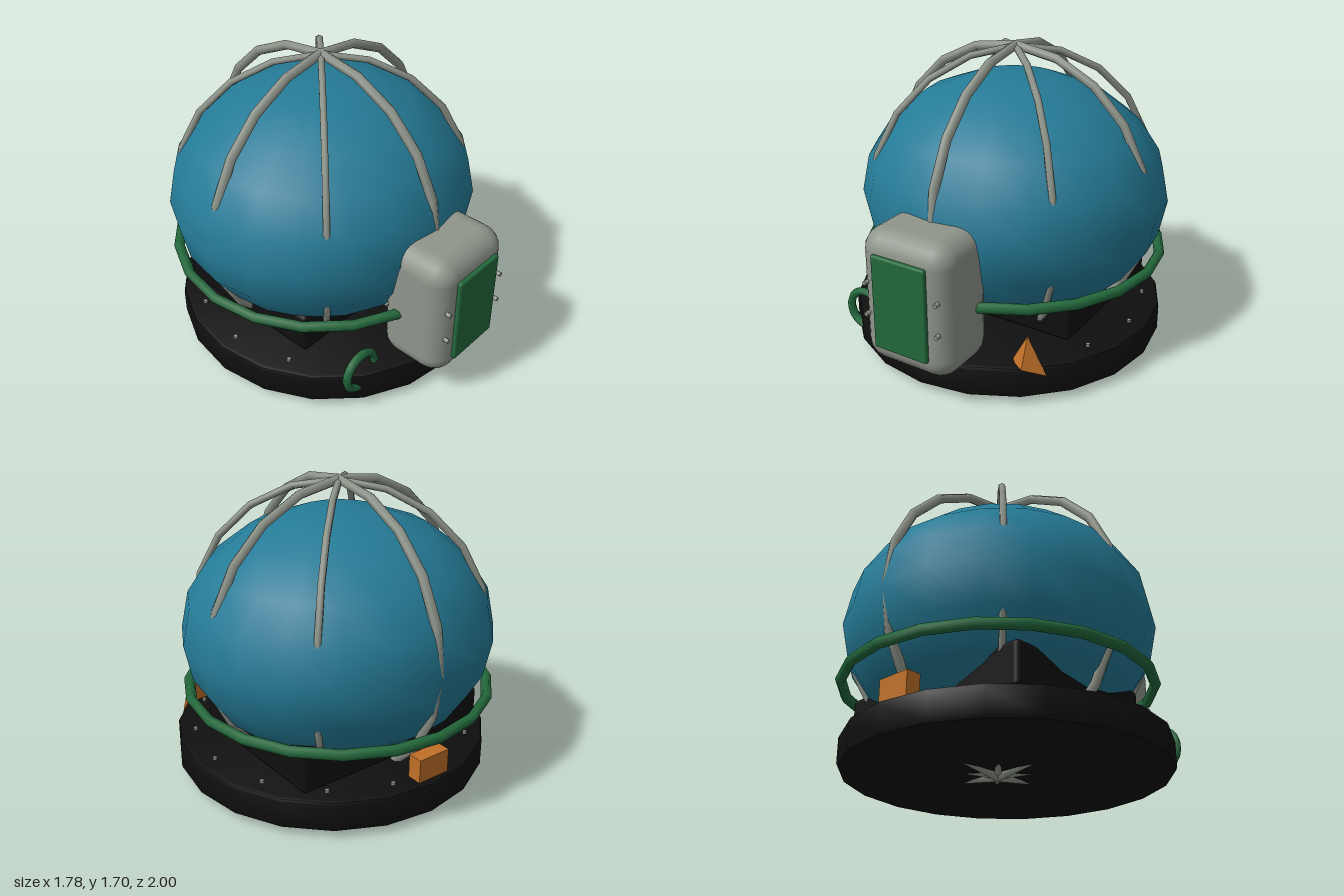
import * as THREE from 'three';
import { toCreasedNormals } from 'three/addons/utils/BufferGeometryUtils.js';
import { RoundedBoxGeometry } from 'three/addons/geometries/RoundedBoxGeometry.js';
import { ConvexGeometry } from 'three/addons/geometries/ConvexGeometry.js';

const material = (name, color) => {
  const m = new THREE.MeshStandardMaterial({ color });
  m.name = name;
  return m;
};

export function createModel() {
  const model = new THREE.Group();
  model.name = 'cagedDome';
  const teal = material('teal', 0x257b97);
  const grey = material('grey', 0x8f958b);
  const green = material('green', 0x23693c);
  const orange = material('orange', 0xc07028);
  const black = material('black', 0x0f0f0f);

  const add = (name, geometry, mat, x = 0, y = 0, z = 0, parent = model) => {
    const mesh = new THREE.Mesh(geometry, mat);
    mesh.name = name;
    mesh.position.set(x, y, z);
    parent.add(mesh);
    return mesh;
  };
  const group = (name) => {
    const g = new THREE.Group();
    g.name = name;
    model.add(g);
    return g;
  };

  const domeZ = -0.12, baseZ = -0.05;

  // Flattened dome
  add('dome', new THREE.SphereGeometry(1, 20, 10).scale(0.88, 0.677, 0.85), teal, 0, 0.84, domeZ);

  // Round base with softened rims
  const profile = [[0, 0.04], [0.87, 0.04], [0.885, 0.046], [0.892, 0.06], [0.892, 0.2],
    [0.885, 0.214], [0.87, 0.22], [0, 0.22]].map(([r, y]) => new THREE.Vector2(r, y));
  add('base', toCreasedNormals(new THREE.LatheGeometry(profile, 20), 0.6), black, 0, 0, baseZ);

  // Cradle block under the dome; only its corners stick out
  add('cradle', new RoundedBoxGeometry(1.22, 0.25, 0.95, 2, 0.03), black, 0, 0.345, -0.155);

  // Cage: four full hoops through the poles, the diagonal ones slimmer
  const cage = group('cage');
  for (let i = 0; i < 4; i++) {
    const diagonal = i % 2 === 1;
    const hoop = new THREE.TorusGeometry(diagonal ? 0.818 : 0.823, diagonal ? 0.02 : 0.027, 6, 20);
    add(diagonal ? 'diagonalHoop' : 'mainHoop', hoop, grey, 0, 0.85, domeZ, cage).rotation.y = i * Math.PI / 4;
  }

  // Level guard rail
  add('guardRail', new THREE.TorusGeometry(0.848, 0.03, 6, 20).rotateX(Math.PI / 2), green, 0, 0.51, domeZ);

  // Front cabinet with door and bolts
  const cabinet = group('frontCabinet');
  add('cabinetBody', new RoundedBoxGeometry(0.55, 0.76, 0.42, 3, 0.12), grey, 0, 0.56, 0.763, cabinet);
  add('cabinetDoor', new RoundedBoxGeometry(0.33, 0.53, 0.03, 2, 0.012), green, 0, 0.565, 0.982, cabinet);
  for (const x of [-0.22, 0.22]) {
    for (const y of [0.47, 0.65]) {
      const bolt = new THREE.CylinderGeometry(0.012, 0.012, 0.03, 8).rotateX(Math.PI / 2);
      add('cabinetBolt', bolt, grey, x, y, 0.972, cabinet);
    }
  }

  // Bolts around the base rim
  const baseBolts = group('baseBolts');
  for (let i = 0; i < 14; i++) {
    const a = i / 14 * Math.PI * 2;
    add('baseBolt', new THREE.CylinderGeometry(0.012, 0.012, 0.02, 8), grey,
      0.79 * Math.cos(a), 0.225, baseZ + 0.79 * Math.sin(a), baseBolts);
  }

  // Curled hose at the front
  const hose = group('hose');
  const arc = 4.55, hoseR = 0.11;
  add('hoseCurl', new THREE.TorusGeometry(hoseR, 0.024, 6, 14, arc), green, -0.515, 0.24, 0.64, hose);
  for (const a of [0, arc]) {
    add('hoseEnd', new THREE.SphereGeometry(0.024, 6, 4), green,
      -0.515 + hoseR * Math.cos(a), 0.24 + hoseR * Math.sin(a), 0.64, hose);
  }

  // Pointed marker on the front edge
  const corners = [[0.515, 0.375, 0.595], [0.43, 0.21, 0.61], [0.63, 0.17, 0.59], [0.54, 0.235, 0.70]]
    .map((p) => new THREE.Vector3(...p));
  add('frontMarker', new ConvexGeometry(corners), orange);

  // Block on the back edge
  add('rearBlock', new THREE.BoxGeometry(0.2, 0.14, 0.085), orange, -0.04, 0.285, -0.853);

  return model;
}
